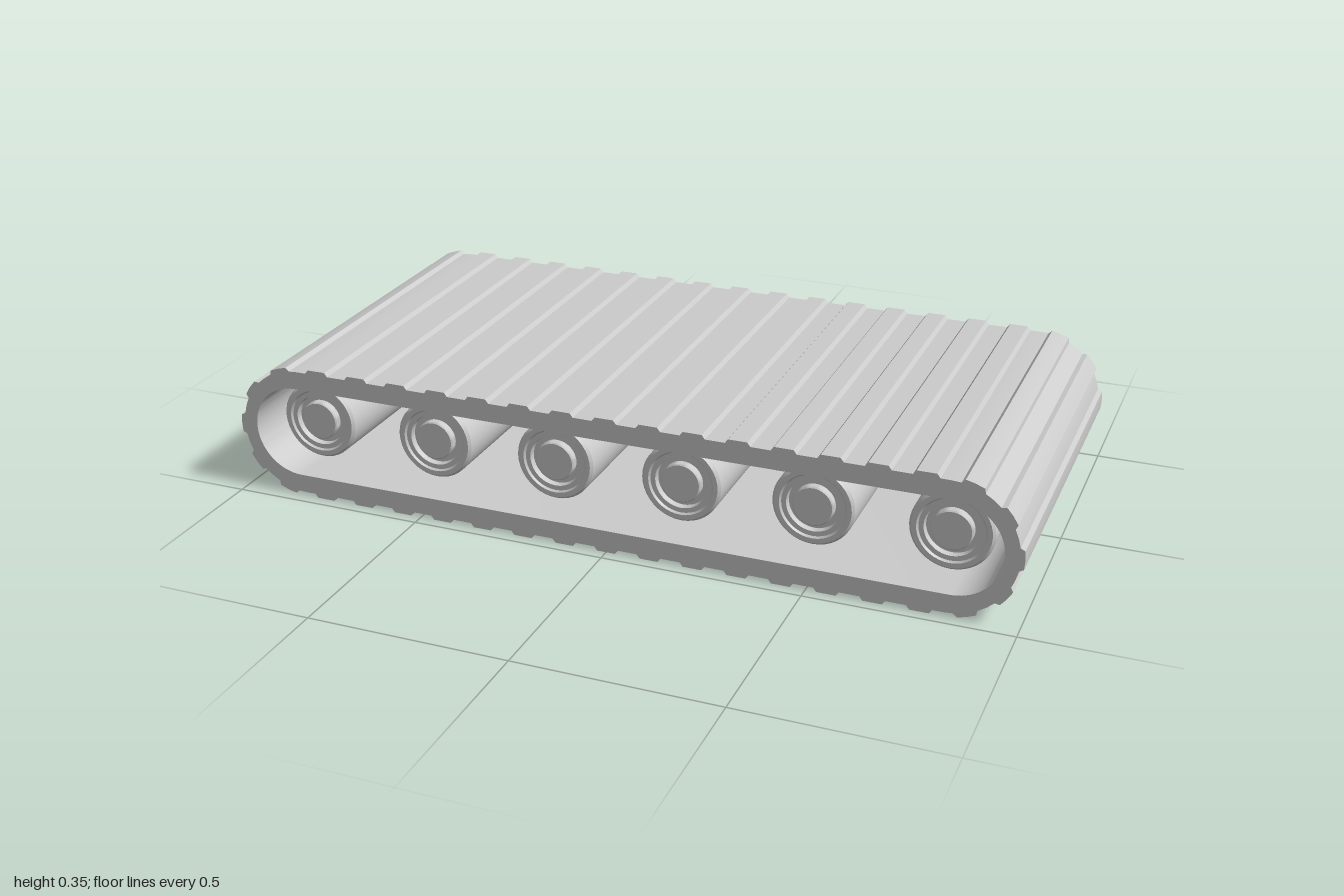
import * as THREE from 'three';
import { toCreasedNormals } from 'three/addons/utils/BufferGeometryUtils.js';

const WIDTH = 0.94;          // belt width along z
const AXIS_Y = 0.175;        // height of the belt centre line
const HALF_RUN = 0.825;      // half length of the straight runs
const OUTER_R = 0.175;       // radius at the tread crests
const TREAD = 0.01;          // tread depth
const RUN_TREADS = 15, END_TREADS = 5;

const material = new THREE.MeshStandardMaterial({ color: 0xcccccc });

// One tread: [position within the pitch, depth below the crest]
const treadProfile = [[0, TREAD], [0.22, TREAD], [0.29, 0], [0.5, 0], [0.71, 0], [0.78, TREAD]];

// Ribbed outline of the belt, counter-clockwise from the lower left
function beltOutline() {
  const points = [];
  for (const side of [-1, 1]) {
    // straight run (side -1 is the bottom, side 1 the top)
    for (let i = 0; i < RUN_TREADS; i++) {
      for (const [t, d] of treadProfile) {
        const x = HALF_RUN * (2 * (i + t) / RUN_TREADS - 1);
        points.push(new THREE.Vector2(-side * x, side * (OUTER_R - d)));
      }
    }
    // rounded end that follows it
    for (let i = 0; i < END_TREADS; i++) {
      for (const [t, d] of treadProfile) {
        const a = side * Math.PI / 2 + Math.PI * (i + t) / END_TREADS;
        const r = OUTER_R - d;
        points.push(new THREE.Vector2(-side * HALF_RUN + r * Math.cos(a), r * Math.sin(a)));
      }
    }
  }
  return points;
}

function createBelt() {
  const shape = new THREE.Shape(beltOutline());
  const innerR = 0.118, innerRun = 0.837;
  const hole = new THREE.Path();
  hole.absarc(innerRun, 0, innerR, -Math.PI / 2, Math.PI / 2, false);
  hole.absarc(-innerRun, 0, innerR, Math.PI / 2, Math.PI * 1.5, false);
  hole.closePath();
  shape.holes.push(hole);
  const geometry = new THREE.ExtrudeGeometry(shape, { depth: WIDTH, bevelEnabled: false, curveSegments: 20 });
  geometry.translate(0, AXIS_Y, -WIDTH / 2);
  const belt = new THREE.Mesh(toCreasedNormals(geometry, 0.3), material);
  belt.name = 'belt';
  return belt;
}

// Roller with a stepped rim, a recess and a hub on both faces
function createRollerGeometry() {
  const face = [
    [0, 0.40], [0.047, 0.40], [0.05, 0.397], [0.05, 0.38], [0.064, 0.38],
    [0.066, 0.395], [0.078, 0.395], [0.082, 0.40], [0.094, 0.40], [0.1, 0.393],
  ];
  const profile = [
    ...face.map(([r, z]) => new THREE.Vector2(r, -z)),
    ...face.slice().reverse().map(([r, z]) => new THREE.Vector2(r, z)),
  ];
  const geometry = new THREE.LatheGeometry(profile, 40);
  geometry.rotateX(Math.PI / 2);
  return toCreasedNormals(geometry, 0.5);
}

export function createModel() {
  const model = new THREE.Group();
  model.name = 'trackBelt';
  model.add(createBelt());

  const rollers = new THREE.Group();
  rollers.name = 'rollers';
  const geometry = createRollerGeometry();
  for (let i = 0; i < 6; i++) {
    const roller = new THREE.Mesh(geometry, material);
    roller.name = `roller${i + 1}`;
    roller.position.set((i - 2.5) * 0.327, 0.18, 0);
    rollers.add(roller);
  }
  model.add(rollers);
  return model;
}
